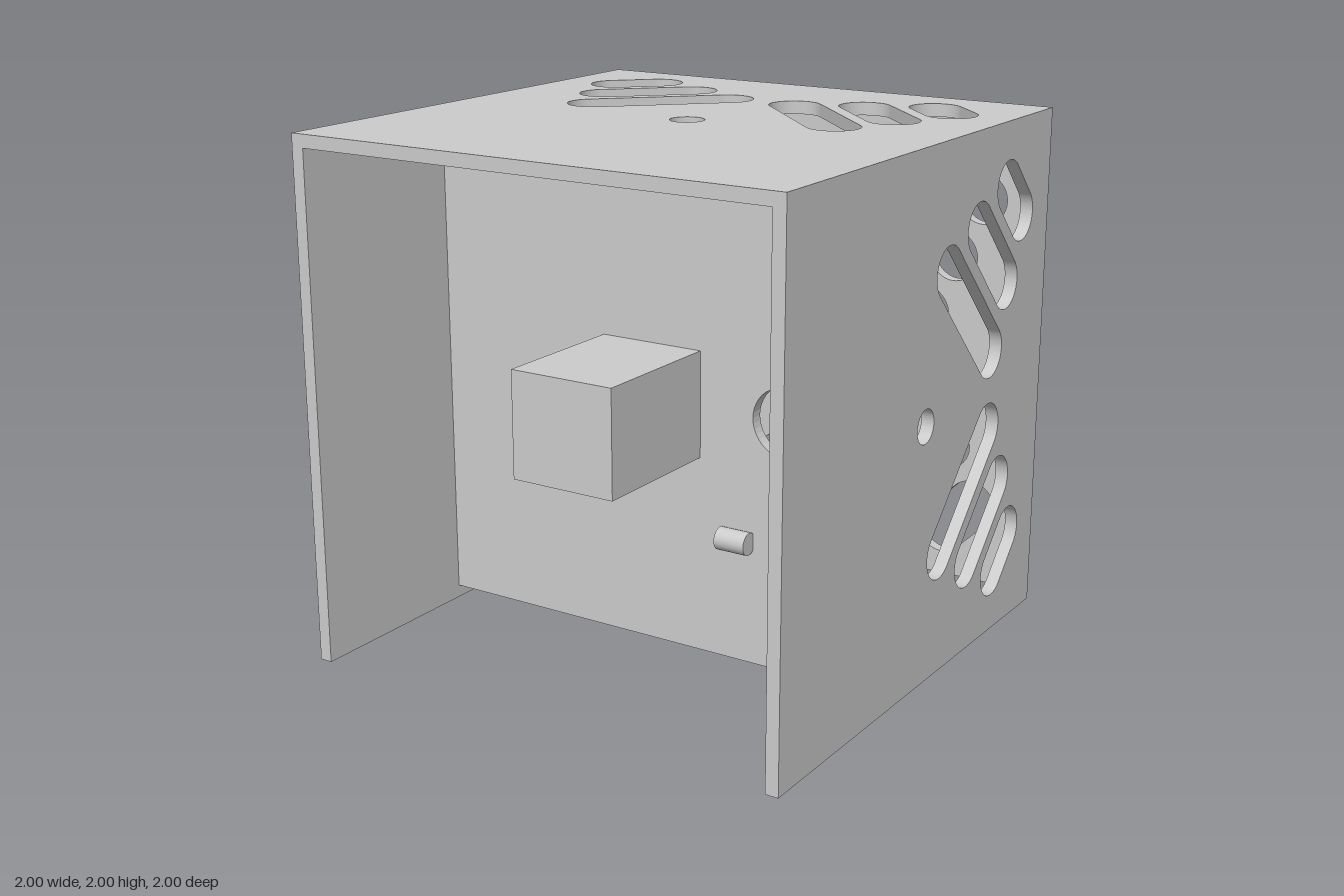
import * as THREE from 'three';

const T = 0.05; // wall thickness
const mat = new THREE.MeshStandardMaterial({ color: 0xcccccc });

// Capsule-shaped hole between two points
function slot([px, py], [qx, qy], r = 0.1) {
  const t = Math.atan2(qy - py, qx - px);
  const path = new THREE.Path();
  path.absarc(qx, qy, r, t - Math.PI / 2, t + Math.PI / 2, false);
  path.absarc(px, py, r, t + Math.PI / 2, t + Math.PI * 1.5, false);
  path.closePath();
  return path;
}

function roundHole(x, y, r) {
  const path = new THREE.Path();
  path.absarc(x, y, r, 0, Math.PI * 2, false);
  return path;
}

// Three diagonal vents in the quadrant given by the signs
function vents(sx, sy) {
  return [[0.15, 0.525], [0.39, 0.64], [0.63, 0.755]].map(([a, b]) =>
    slot([a * sx, b * sy], [b * sx, a * sy]));
}

// Flat sheet with holes, extruded from z = 0 to z = T
function sheet(x0, x1, y0, y1, holes) {
  const shape = new THREE.Shape([
    new THREE.Vector2(x0, y0), new THREE.Vector2(x1, y0),
    new THREE.Vector2(x1, y1), new THREE.Vector2(x0, y1),
  ]);
  shape.holes.push(...holes);
  return new THREE.ExtrudeGeometry(shape, { depth: T, bevelEnabled: false, curveSegments: 20 });
}

export function createModel() {
  const model = new THREE.Group();
  const add = (name, geometry, x, y, z) => {
    const mesh = new THREE.Mesh(geometry, mat);
    mesh.name = name;
    mesh.position.set(x, y, z);
    model.add(mesh);
    return mesh;
  };
  const w = 1 - T;

  // Outer shell: top, two sides and back, with vents toward the rear
  add('topPanel', sheet(-1, 1, -1, 1,
    [...vents(1, 1), ...vents(-1, 1), roundHole(0, 0, 0.065)]).rotateX(-Math.PI / 2), 0, 2 - T, 0);
  for (const [name, x] of [['leftPanel', w], ['rightPanel', -1]]) {
    add(name, sheet(-1, 1, -1, w,
      [...vents(1, 1), ...vents(1, -1), roundHole(0, 0, 0.065)]).rotateY(Math.PI / 2), x, 1, 0);
  }
  add('backPanel', sheet(-w, w, -w, w,
    [...vents(1, 1), ...vents(-1, 1), ...vents(1, -1), ...vents(-1, -1)]), 0, 1, -1);

  // Recessed front panel with a round opening, held by corner strips
  add('frontPanel', sheet(-w, w, -w, w, [roundHole(0.565, 0, 0.13)]), 0, 1, 0.19);
  for (const s of [-1, 1]) {
    add('cornerStrip', new THREE.BoxGeometry(T, 2 * w, T), s * (w - T / 2), 1, 0.165);
  }

  // Block and small round handle on the front panel
  add('frontBlock', new THREE.BoxGeometry(0.425, 0.405, 0.56), 0, 1.0125, 0.52);
  add('handle', new THREE.CylinderGeometry(0.043, 0.043, 0.125, 32).rotateZ(Math.PI / 2),
    0.378, 0.528, 0.268);

  // Motor, shaft and disc along the depth axis
  const rod = (name, r, z0, z1) => add(name,
    new THREE.CylinderGeometry(r, r, z1 - z0, 64).rotateX(Math.PI / 2), 0, 1, (z0 + z1) / 2);
  rod('motor', 0.165, -0.95, -0.42);
  rod('shaft', 0.03, -0.42, -0.34);
  rod('disc', 0.313, -0.34, -0.305);

  return model;
}
